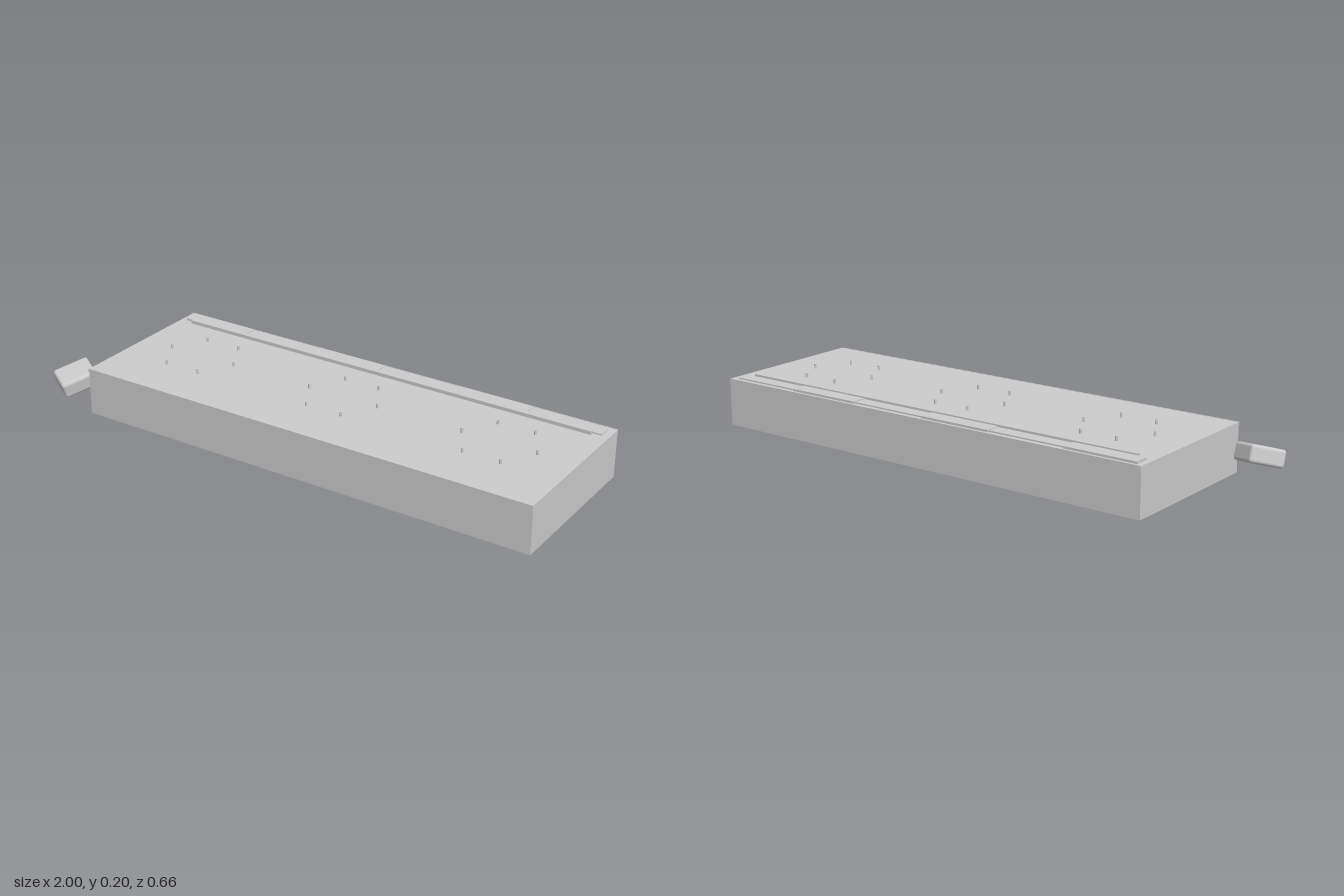
import * as THREE from 'three';
import { RoundedBoxGeometry } from 'three/addons/geometries/RoundedBoxGeometry.js';

const material = new THREE.MeshStandardMaterial({ color: 0xcccccc });

export function createModel() {
  const model = new THREE.Group();

  const add = (name, geometry, x, y, z) => {
    const mesh = new THREE.Mesh(geometry, material);
    mesh.name = name;
    mesh.position.set(x, y, z);
    model.add(mesh);
    return mesh;
  };
  // box given by its limits on each axis
  const box = (name, x0, x1, y0, y1, z0, z1) =>
    add(name, new THREE.BoxGeometry(x1 - x0, y1 - y0, z1 - z0),
      (x0 + x1) / 2, (y0 + y1) / 2, (z0 + z1) / 2);

  // main slab with thin edging along the front and back of its top
  box('slab', -0.807, 0.998, 0, 0.179, -0.328, 0.291);
  box('frontEdging', -0.807, 0.998, 0.167, 0.18, 0.291, 0.294);
  box('backEdging', -0.807, 0.998, 0.167, 0.18, -0.331, -0.328);

  // three hexagonal rings of pegs
  const peg = new THREE.CylinderGeometry(0.0045, 0.0045, 0.021, 12);
  for (const cx of [-0.525, 0.092, 0.711]) {
    for (let i = 0; i < 6; i++) {
      const a = (i * Math.PI) / 3;
      add('peg', peg, cx + 0.142 * Math.cos(a), 0.1855, -0.02 + 0.124 * Math.sin(a) / Math.sin(Math.PI / 3));
    }
  }

  // rail along the back, with a row of alternating slats behind it
  box('rail', -0.75, 0.937, 0.178, 0.192, -0.26, -0.244);
  const joints = [-0.785, -0.505, -0.2, 0.083, 0.393, 0.687, 0.97];
  for (let i = 0; i < 6; i++) {
    const raised = i % 2 === 0;
    box('slat', joints[i], joints[i + 1], 0.178, raised ? 0.187 : 0.184, raised ? -0.318 : -0.311, -0.26);
  }

  // loose rounded block, tilted beside the front right corner
  const block = add('looseBlock', new RoundedBoxGeometry(0.115, 0.064, 0.137, 4, 0.012), -0.918, 0.096, 0.242);
  block.rotation.set(0.32, -0.56, 0);

  return model;
}
